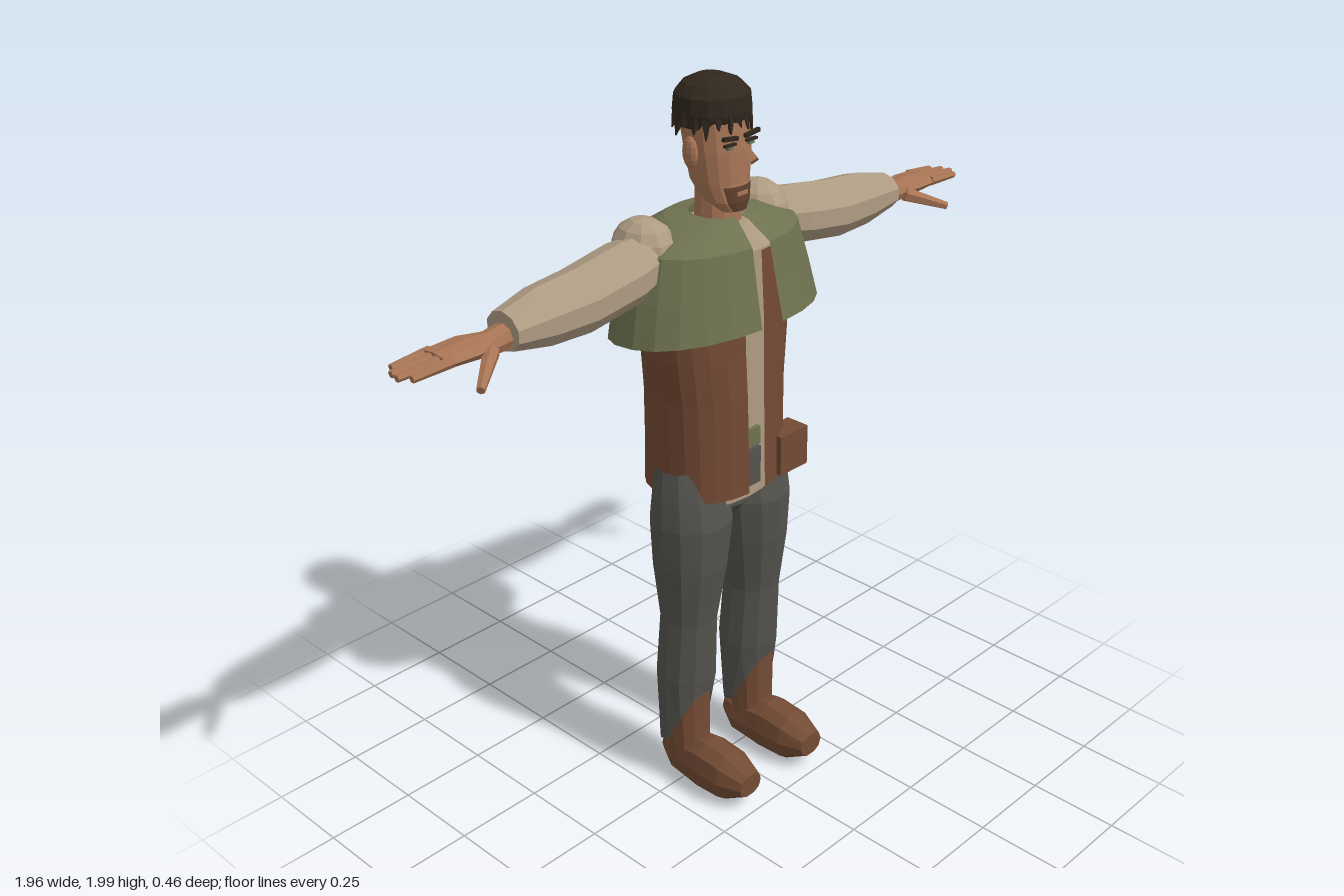
import * as THREE from 'three';

const mat = (name, color, side = THREE.FrontSide) => {
  const m = new THREE.MeshStandardMaterial({ color, flatShading: true, side });
  m.name = name;
  return m;
};

// Sweep superellipse sections along an axis. Section: [t, centreU, centreV, radiusU, radiusV].
// Axis y: u = x, v = z.  Axis x: u = z, v = y.  Axis z: u = y, v = x.
const PLACE = {
  x: (t, u, v) => [t, v, u],
  y: (t, u, v) => [u, t, v],
  z: (t, u, v) => [v, u, t],
};
function loft(axis, sections, { n = 12, e = 2, from = 0, to = Math.PI * 2, cap = true, warp } = {}) {
  const pos = [], idx = [], w = n + 1;
  const pw = (s) => Math.sign(s) * Math.abs(s) ** (2 / e);
  const add = (t, u, v, row) => {
    const p = PLACE[axis](t, u, v);
    if (warp) warp(p, row);
    pos.push(...p);
  };
  sections.forEach(([t, cu, cv, ru, rv], row) => {
    for (let j = 0; j <= n; j++) {
      const a = from + ((to - from) * j) / n;
      add(t, cu + ru * pw(Math.sin(a)), cv + rv * pw(Math.cos(a)), row);
    }
  });
  const last = sections.length - 1;
  for (let i = 0; i < last; i++) {
    for (let j = 0; j < n; j++) {
      const a = i * w + j, b = a + 1, c = b + w, d = a + w;
      idx.push(a, b, c, a, c, d);
    }
  }
  if (cap) {
    [0, last].forEach((row) => {
      const k = pos.length / 3, [t, cu, cv] = sections[row];
      add(t, cu, cv, row);
      for (let j = 0; j < n; j++) {
        const a = row * w + j;
        idx.push(...(row ? [k, a, a + 1] : [k, a + 1, a]));
      }
    });
  }
  const g = new THREE.BufferGeometry();
  g.setAttribute('position', new THREE.Float32BufferAttribute(pos, 3));
  g.setIndex(idx);
  g.computeVertexNormals();
  return g;
}

// Tapered rod between two points
function rod(a, b, ra, rb, sides = 6) {
  const A = new THREE.Vector3(...a), B = new THREE.Vector3(...b), d = B.clone().sub(A);
  const g = new THREE.CylinderGeometry(rb, ra, d.length(), sides);
  g.applyQuaternion(new THREE.Quaternion().setFromUnitVectors(new THREE.Vector3(0, 1, 0), d.normalize()));
  const m = A.add(B).multiplyScalar(0.5);
  return g.translate(m.x, m.y, m.z);
}

const box = (w, h, d, x, y, z, tilt = 0) => new THREE.BoxGeometry(w, h, d).rotateZ(tilt).translate(x, y, z);
const ball = (rx, ry, rz, x, y, z) => new THREE.SphereGeometry(1, 10, 8).scale(rx, ry, rz).translate(x, y, z);

function mirrored(geo) {
  const g = geo.clone().scale(-1, 1, 1), ix = g.index.array;
  for (let i = 0; i < ix.length; i += 3) [ix[i], ix[i + 1]] = [ix[i + 1], ix[i]];
  g.computeVertexNormals();
  return g;
}

export function createModel() {
  const root = new THREE.Group();
  root.name = 'standingMan';
  const skin = mat('skin', 0xa87555), hair = mat('hair', 0x30271d), beard = mat('beard', 0x5f402c);
  const linen = mat('linen', 0xae9b83), green = mat('capeGreen', 0x6e7250, THREE.DoubleSide);
  const leather = mat('vestLeather', 0x734a34, THREE.DoubleSide), boot = mat('bootLeather', 0x734b34);
  const slate = mat('trouserGrey', 0x54534e, THREE.DoubleSide), iris = mat('iris', 0x5f7358);

  const add = (name, geo, material) => {
    const m = new THREE.Mesh(geo, material);
    m.name = name;
    root.add(m);
  };
  const pair = (name, geo, material) => {
    add(name + 'Left', geo, material);
    add(name + 'Right', mirrored(geo), material);
  };

  // Head and neck
  add('head', loft('y', [
    [1.68, 0, 0.035, 0.035, 0.03], [1.705, 0, 0.012, 0.058, 0.058], [1.75, 0, -0.005, 0.073, 0.07],
    [1.83, 0, -0.013, 0.083, 0.078], [1.9, 0, -0.022, 0.086, 0.083], [1.96, 0, -0.03, 0.06, 0.06],
  ], { n: 16, e: 2.2 }), skin);
  add('neck', loft('y', [[1.58, 0, -0.015, 0.065, 0.065], [1.66, 0, -0.012, 0.06, 0.06], [1.74, 0, -0.012, 0.058, 0.058]]), skin);
  add('nose', rod([0, 1.86, 0.06], [0, 1.815, 0.11], 0.007, 0.015, 4), skin);
  pair('ear', ball(0.013, 0.04, 0.024, 0.092, 1.83, -0.015), skin);
  pair('eyebrow', box(0.05, 0.01, 0.009, 0.038, 1.868, 0.066, 0.12), hair);
  pair('eyelid', box(0.038, 0.006, 0.009, 0.037, 1.852, 0.064), hair);
  pair('eye', box(0.018, 0.009, 0.008, 0.037, 1.845, 0.063), iris);

  // Short beard wrapped around the chin, with a mouth plate
  add('beard', loft('y', [
    [1.682, 0, 0.037, 0.037, 0.034], [1.706, 0, 0.012, 0.061, 0.062], [1.745, 0, -0.003, 0.075, 0.073],
  ], { n: 8, from: -0.7, to: 0.7, cap: false }), beard);
  add('mouth', box(0.036, 0.01, 0.008, 0, 1.727, 0.069), skin);

  // Hair cap with a ragged rim of tufts
  add('hair', loft('y', [
    [1.885, 0, -0.03, 0.09, 0.088], [1.92, 0, -0.03, 0.1, 0.096], [1.96, 0, -0.03, 0.097, 0.091],
    [1.985, 0, -0.032, 0.073, 0.07], [2.0, 0, -0.035, 0.035, 0.035],
  ], { n: 14 }), hair);
  const tufts = new THREE.Group();
  tufts.name = 'hairTufts';
  for (let i = 0; i < 20; i++) {
    const a = (i / 20) * Math.PI * 2, s = Math.sin(a), c = Math.cos(a), drop = 0.022 + 0.012 * (i % 3);
    const tuft = new THREE.Mesh(rod([0.084 * s, 1.92, -0.03 + 0.08 * c],
      [0.1 * s, 1.91 - drop, -0.03 + 0.097 * c], 0.018, 0.002, 4), hair);
    tuft.name = 'hairTuft';
    tufts.add(tuft);
  }
  root.add(tufts);

  // Shirt body, vest and shoulder cape, the last two open at the front
  add('shirt', loft('y', [
    [0.9, 0, -0.03, 0.165, 0.132], [0.94, 0, -0.028, 0.17, 0.13], [1.2, 0, -0.025, 0.165, 0.125],
    [1.42, 0, -0.025, 0.18, 0.125], [1.58, 0, -0.02, 0.17, 0.12], [1.645, 0, -0.01, 0.07, 0.075],
  ], { n: 20, e: 2.3, cap: true }), linen);
  const gap = { n: 22, from: 0.1, to: Math.PI * 2 - 0.1, cap: false };
  add('vest', loft('y', [
    [0.93, 0, -0.025, 0.19, 0.155], [1.06, 0, -0.025, 0.188, 0.152], [1.2, 0, -0.025, 0.192, 0.148],
    [1.32, 0, -0.025, 0.207, 0.143], [1.42, 0, -0.025, 0.215, 0.14], [1.58, 0, -0.025, 0.2, 0.132],
  ], { ...gap, e: 2.5 }), leather);
  add('cape', loft('y', [
    [1.388, 0, -0.025, 0.31, 0.202], [1.5, 0, -0.03, 0.285, 0.187], [1.61, 0, -0.035, 0.252, 0.17],
    [1.658, 0, -0.03, 0.13, 0.105], [1.665, 0, -0.015, 0.068, 0.07],
  ], { ...gap, e: 2.2, warp: (p, row) => { if (row === 0) p[1] += 0.12 * p[2]; } }), green);

  // Waist fittings
  add('beltFront', box(0.062, 0.105, 0.02, 0, 0.99, 0.103), slate);
  add('beltBuckle', box(0.06, 0.05, 0.02, 0, 1.075, 0.102), green);
  add('beltPouch', box(0.105, 0.112, 0.07, 0.138, 0.995, 0.1), leather);

  // Trousers: the hem is cut high at the front and low behind
  add('trouserSeat', loft('y', [
    [0.82, 0, -0.01, 0.04, 0.05], [0.87, 0, -0.01, 0.1, 0.09], [1.0, 0, -0.01, 0.15, 0.09],
  ]), slate);
  pair('trouserLeg', loft('y', [
    [0.14, 0.13, -0.015, 0.07, 0.078], [0.36, 0.125, -0.015, 0.083, 0.085], [0.55, 0.125, -0.003, 0.078, 0.08],
    [0.72, 0.119, -0.003, 0.1, 0.105], [0.85, 0.113, -0.002, 0.113, 0.112], [0.93, 0.112, -0.005, 0.107, 0.1],
    [1.01, 0.108, -0.01, 0.1, 0.085],
  ], {
    cap: false,
    warp: (p, row) => { if (row === 0) p[1] = Math.min(0.33, Math.max(0.14, 0.19 + 2.1 * p[2])); },
  }), slate);

  // Boots
  pair('bootShaft', loft('y', [[0.1, 0.13, 0, 0.06, 0.062], [0.2, 0.13, 0, 0.062, 0.058], [0.38, 0.13, -0.01, 0.068, 0.068]]), boot);
  pair('bootFoot', loft('z', [
    [-0.075, 0.095, 0.125, 0.035, 0.04], [-0.03, 0.085, 0.125, 0.062, 0.06], [0.08, 0.09, 0.128, 0.082, 0.066],
    [0.16, 0.088, 0.128, 0.074, 0.065], [0.232, 0.09, 0.127, 0.034, 0.042],
  ], { n: 10, e: 2.3 }), boot);

  // Sleeves with round shoulder caps
  pair('shoulderCap', ball(0.077, 0.085, 0.092, 0.205, 1.6, -0.065), linen);
  pair('sleeve', loft('x', [
    [0.15, -0.055, 1.59, 0.06, 0.06], [0.3, -0.043, 1.57, 0.09, 0.08], [0.45, -0.04, 1.547, 0.085, 0.08],
    [0.57, -0.037, 1.545, 0.077, 0.073], [0.68, -0.03, 1.545, 0.058, 0.049],
  ], { n: 10 }), linen);

  // Hands: palm, four fingers and a thumb
  pair('hand', loft('x', [
    [0.66, -0.03, 1.535, 0.036, 0.034], [0.72, -0.03, 1.53, 0.034, 0.027], [0.78, -0.036, 1.535, 0.052, 0.023],
    [0.87, -0.038, 1.535, 0.052, 0.017],
  ], { n: 8, e: 2.3 }), skin);
  [[-0.076, 0.955], [-0.05, 0.975], [-0.024, 0.98], [0.002, 0.96]].forEach(([z, tip], i) => {
    pair('finger' + (i + 1), rod([0.85, 1.537, z], [tip, 1.53, z * 1.05], 0.014, 0.009), skin);
  });
  pair('thumb', rod([0.74, 1.525, 0], [0.835, 1.485, 0.075], 0.021, 0.011), skin);

  return root;
}
